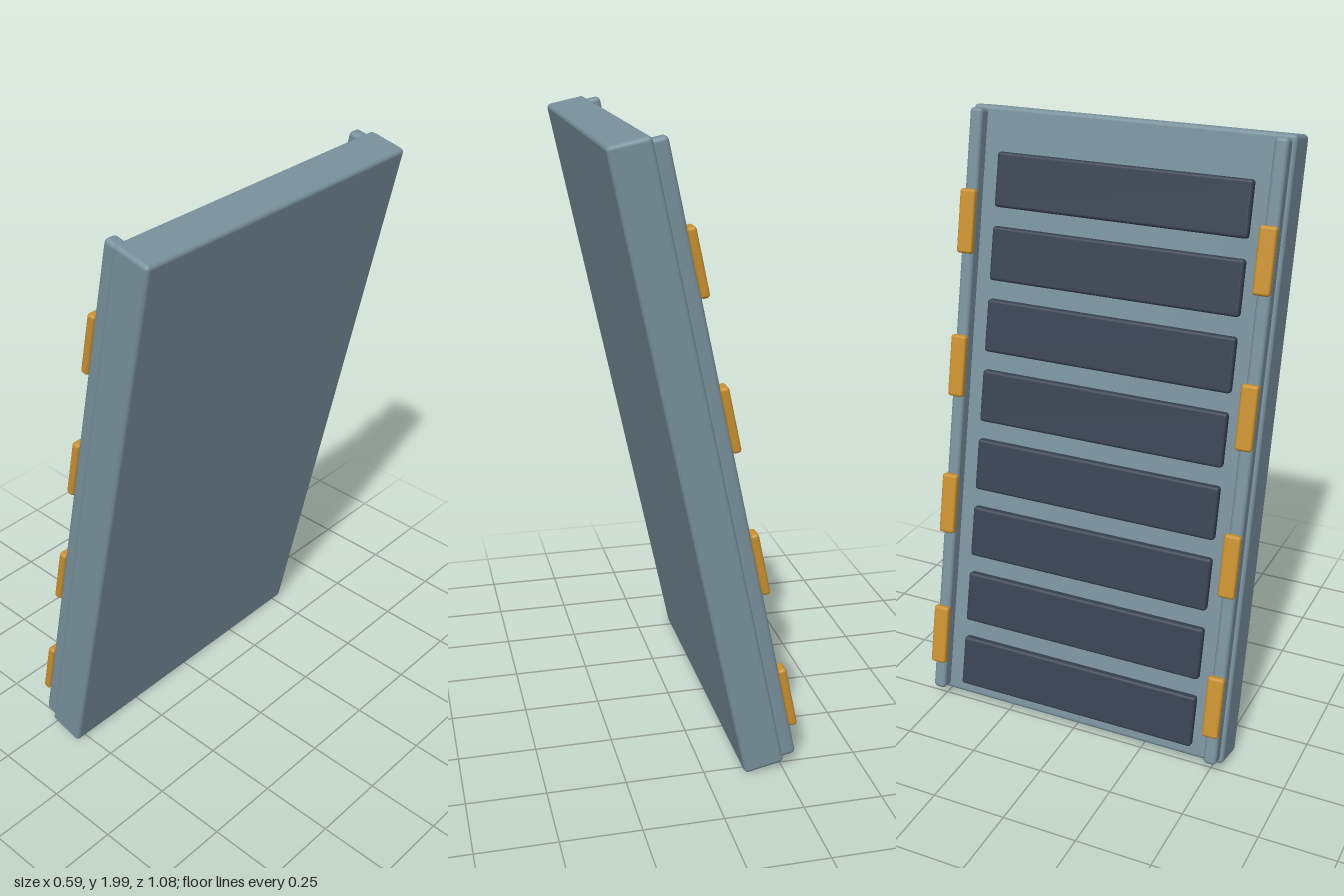
import * as THREE from 'three';
import { RoundedBoxGeometry } from 'three/addons/geometries/RoundedBoxGeometry.js';

const material = (name, color) => {
  const m = new THREE.MeshStandardMaterial({ color });
  m.name = name;
  return m;
};

export function createModel() {
  const steel = material('blue grey steel', 0x78909c);
  const dark = material('dark slate', 0x374151);
  const brass = material('brass', 0xc8902e);

  const model = new THREE.Group();
  model.name = 'leaningPanel';

  // Everything is built upright, then leaned over as one piece
  const panel = new THREE.Group();
  panel.name = 'tiltedPanel';
  panel.position.set(0.02, 1, 0);
  panel.rotation.z = -THREE.MathUtils.degToRad(12);
  model.add(panel);

  // Rounded box spanning x0..x1 in thickness, centred at y, z
  const add = (name, mat, x0, x1, height, depth, radius, y = 0, z = 0) => {
    const geometry = new RoundedBoxGeometry(x1 - x0, height, depth, 3, radius);
    const mesh = new THREE.Mesh(geometry, mat);
    mesh.name = name;
    mesh.position.set((x0 + x1) / 2, y, z);
    panel.add(mesh);
  };

  // Main slab
  add('slab', steel, -0.065, 0.065, 2.017, 1.08, 0.014);

  // Row of dark slats across the underside
  for (let i = 0; i < 8; i++) {
    add(`slat${i + 1}`, dark, -0.088, -0.045, 0.175, 0.86, 0.01, -0.88 + i * 0.237);
  }

  // Edge rails with brass clips, one on each side
  for (const side of [1, -1]) {
    const label = side > 0 ? 'front' : 'back';
    add(`${label}Rail`, steel, -0.11, -0.055, 1.995, 0.044, 0.014, 0, side * 0.507);
    for (let i = 0; i < 4; i++) {
      add(`${label}Clip${i + 1}`, brass, -0.134, -0.106, 0.207, 0.055, 0.01,
        -0.79 + i * 0.476, side * 0.505);
    }
  }

  return model;
}
